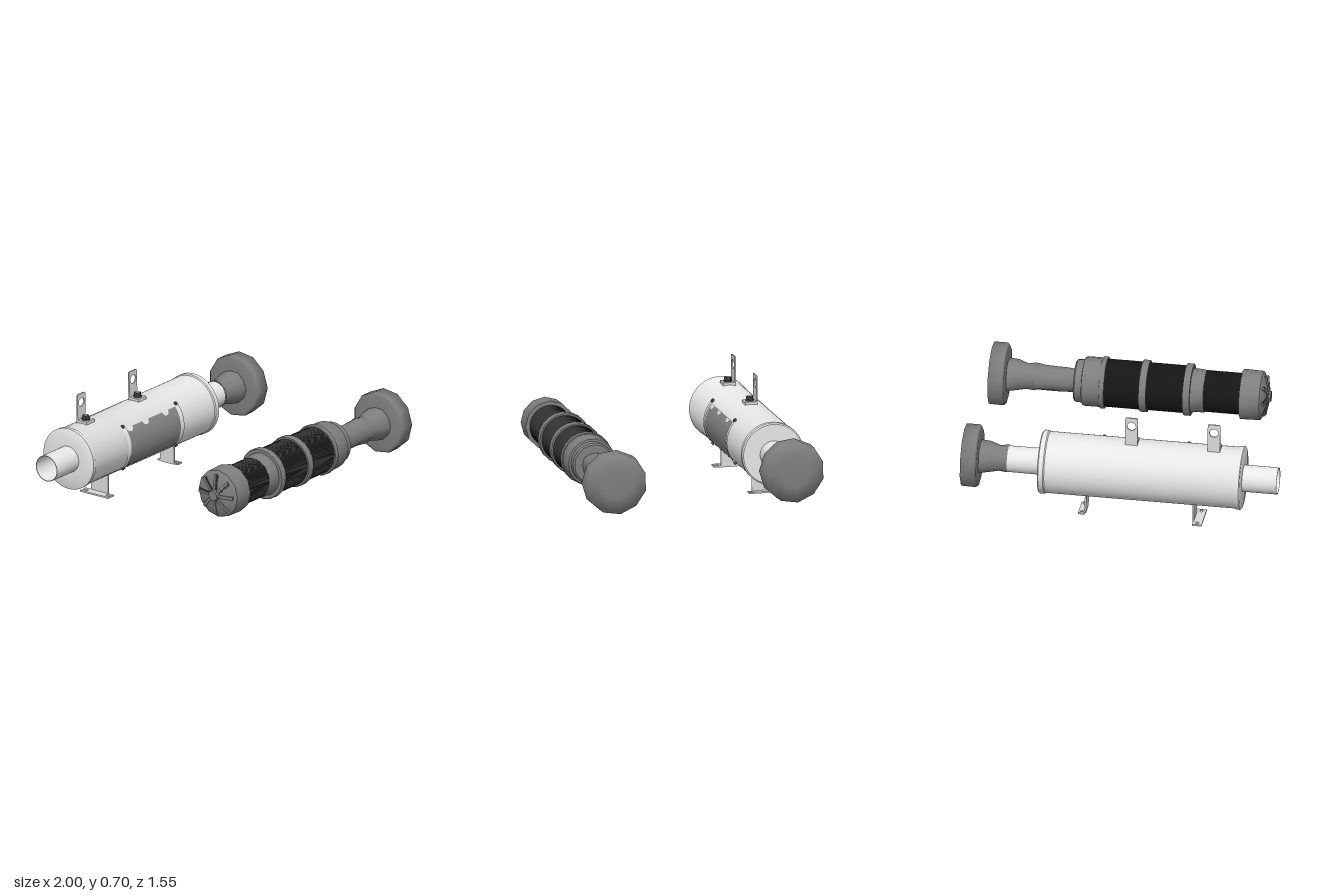
import * as THREE from 'three';
import { toCreasedNormals, mergeVertices } from 'three/addons/utils/BufferGeometryUtils.js';

const mat = (name, color, side = THREE.FrontSide) => {
  const m = new THREE.MeshStandardMaterial({ color, side });
  m.name = name;
  return m;
};

export function createModel() {
  const steel = mat('light steel', 0xe8e8e8, THREE.DoubleSide);
  const bracket = mat('bracket steel', 0xdadada, THREE.DoubleSide);
  const rubber = mat('grey rubber', 0x7e7e7e, THREE.DoubleSide);
  const panelGrey = mat('panel grey', 0x848484, THREE.DoubleSide);
  const black = mat('black mesh', 0x303030, THREE.DoubleSide);
  const boltDark = mat('dark bolt', 0x464646);

  const add = (parent, name, geo, material, x = 0, y = 0, z = 0) => {
    const m = new THREE.Mesh(geo, material);
    m.name = name;
    m.position.set(x, y, z);
    parent.add(m);
    return m;
  };

  // Lathe along x; profile is a list of [x, radius]
  const lathe = (profile, sides) =>
    new THREE.LatheGeometry(profile.map(([x, r]) => new THREE.Vector2(r, x)), sides).rotateZ(-Math.PI / 2);

  // Turned part with sharp edges kept
  const turned = (profile, sides = 48, crease = 0.6) => toCreasedNormals(lathe(profile, sides), crease);

  // Coarse turned part with shared smooth normals and a wavy surface
  const softTurned = (profile, sides, amount) => {
    let g = lathe(profile, sides);
    g.deleteAttribute('normal');
    g.deleteAttribute('uv');
    g = mergeVertices(g, 1e-4);
    const p = g.attributes.position;
    for (let i = 0; i < p.count; i++) {
      const x = p.getX(i), a = Math.atan2(p.getZ(i), p.getY(i));
      const k = 1 + amount * Math.sin(3 * a + 23 * x) * Math.cos(2 * a - 31 * x);
      p.setXYZ(i, x, p.getY(i) * k, p.getZ(i) * k);
    }
    g.computeVertexNormals();
    return g;
  };

  // Flared end piece, shared by both units
  const addFlare = (unit) => {
    add(unit, 'flareNeck', softTurned(
      [[0.705, 0.088], [0.76, 0.08], [0.82, 0.098], [0.9, 0.108]], 11, 0.05), rubber);
    add(unit, 'flareHead', softTurned(
      [[0.882, 0.1], [0.885, 0.185], [0.897, 0.2], [0.985, 0.199], [0.995, 0.1], [0.996, 0]],
      11, 0.012), rubber);
  };

  const model = new THREE.Group();
  model.name = 'model';
  const makeUnit = (name, y, z) => {
    const g = new THREE.Group();
    g.name = name;
    g.position.set(0.005, y, z);
    g.rotation.z = 0.0165;
    model.add(g);
    return g;
  };

  // ---- Housing unit ----
  const housing = makeUnit('housingUnit', 0.322, -0.577);
  add(housing, 'housingBody', turned([
    [-0.785, 0.085], [-0.785, 0.192], [-0.78, 0.2], [-0.755, 0.2], [-0.745, 0.194],
    [0.453, 0.194], [0.46, 0.2], [0.49, 0.2], [0.497, 0.192], [0.497, 0.085]], 64), steel);
  add(housing, 'inletPipe', turned([[-1.004, 0.085], [-0.78, 0.085]]), steel);
  add(housing, 'inletPipeBore', turned([[-0.78, 0.08], [-1.004, 0.08], [-1.004, 0.085]]), steel);
  add(housing, 'outletPipe', turned([[0.49, 0.084], [0.706, 0.083]]), steel);
  addFlare(housing);

  // Wraps a flat outline round the housing: its y becomes the angle above +z
  const wrap = (name, g, r, material, x) => {
    const p = g.attributes.position;
    for (let i = 0; i < p.count; i++) {
      const a = p.getY(i);
      p.setXYZ(i, p.getX(i), r * Math.sin(a), r * Math.cos(a));
    }
    g.computeVertexNormals();
    add(housing, name, g, material, x);
  };
  const band = (length, from, to) =>
    new THREE.PlaneGeometry(length, to - from, 1, 20).translate(0, (from + to) / 2, 0);

  // Access panel with edge strips, bolts and a scalloped upper edge
  wrap('accessPanel', band(0.51, -0.68, 0.68), 0.1965, panelGrey, -0.145);
  wrap('panelLowerEdge', band(0.51, -0.71, -0.68), 0.1975, black, -0.145);
  for (const x of [-0.36, -0.2, 0.0]) {
    const scallop = new THREE.CircleGeometry(0.03, 10, Math.PI, Math.PI);
    wrap('panelScallop', scallop.scale(1, 5, 1).translate(0, 0.68, 0), 0.1985, steel, x);
  }
  for (const x of [-0.415, 0.12]) {
    wrap('panelStrip', band(0.036, -0.8, 0.8), 0.201, steel, x);
    for (const a of [-0.76, 0.76]) {
      const bolt = add(housing, 'panelBolt', new THREE.CylinderGeometry(0.012, 0.012, 0.012, 8),
        boltDark, x, 0.202 * Math.sin(a), 0.202 * Math.cos(a));
      bolt.rotation.x = Math.PI / 2 - a;
    }
  }

  // Hanging tabs on top
  const tabShape = new THREE.Shape([[-0.04, 0], [0.04, 0], [0.04, 0.163], [0.033, 0.17],
    [-0.033, 0.17], [-0.04, 0.163]].map(([x, y]) => new THREE.Vector2(x, y)));
  const tabHole = new THREE.Path();
  tabHole.absarc(0, 0.113, 0.028, 0, Math.PI * 2, true);
  tabShape.holes.push(tabHole);
  const tabGeo = new THREE.ExtrudeGeometry(tabShape, { depth: 0.009, bevelEnabled: false, curveSegments: 8 });
  for (const x of [-0.598, -0.075]) {
    const tab = new THREE.Group();
    tab.name = 'hangingTab';
    tab.position.set(x, 0.206, -0.003);
    housing.add(tab);
    add(tab, 'tabPlate', tabGeo, bracket, 0, 0, -0.042);
    add(tab, 'tabBase', new THREE.BoxGeometry(0.08, 0.022, 0.08), bracket, 0, -0.007, -0.002);
    add(tab, 'tabWasher', new THREE.CylinderGeometry(0.027, 0.027, 0.008, 16), boltDark, 0, 0.008, 0);
    add(tab, 'tabNut', toCreasedNormals(new THREE.CylinderGeometry(0.023, 0.023, 0.022, 6), 0.4), boltDark, 0, 0.021, 0);
    add(tab, 'tabStud', new THREE.CylinderGeometry(0.012, 0.012, 0.008, 10), bracket, 0, 0.031, 0);
  }

  // Angle legs with slotted feet
  const addLeg = (x, dir, footLength, halfFoot, halfLeg) => {
    const leg = new THREE.Group();
    leg.name = 'supportLeg';
    leg.position.set(x, 0, 0.008);
    housing.add(leg);
    add(leg, 'legPlate', new THREE.BoxGeometry(0.01, 0.13, halfLeg * 2), bracket, 0, -0.246, 0);
    const s = new THREE.Shape();
    s.moveTo(0, -halfFoot).lineTo(footLength, -halfFoot).lineTo(footLength, halfFoot).lineTo(0, halfFoot);
    for (const z of [-1, 1]) {
      const h = new THREE.Path();
      h.absellipse(footLength * 0.5, z * halfFoot * 0.78, 0.011, 0.016, 0, Math.PI * 2, true);
      s.holes.push(h);
    }
    const g = new THREE.ExtrudeGeometry(s, { depth: 0.01, bevelEnabled: false, curveSegments: 6 });
    const foot = add(leg, 'legFoot', g.rotateX(Math.PI / 2), bracket, 0, -0.301, 0);
    if (dir < 0) foot.rotation.y = Math.PI;
  };
  addLeg(-0.478, -1, 0.06, 0.112, 0.068);
  addLeg(0.207, 1, 0.042, 0.08, 0.055);

  // ---- Core unit ----
  const core = makeUnit('coreUnit', 0.326, 0.575);
  add(core, 'endCap', turned([[-0.738, 0.14], [-0.728, 0.155], [-0.6, 0.158], [-0.598, 0.12]], 12, 0.7), rubber);
  add(core, 'endDome', turned([[-0.762, 0], [-0.761, 0.07], [-0.75, 0.115], [-0.73, 0.15]], 16), rubber);
  add(core, 'endHub', turned([[-0.785, 0], [-0.785, 0.033], [-0.755, 0.038]], 12), rubber);
  // Raised spokes with a dark gap beside each
  for (let i = 0; i < 8; i++) {
    const spoke = new THREE.Group();
    spoke.name = 'endSpoke';
    spoke.rotation.x = i * Math.PI / 4;
    core.add(spoke);
    const rib = add(spoke, 'endRib', new THREE.BoxGeometry(0.016, 0.1, 0.016), rubber, -0.757, 0.084, 0);
    const gap = add(spoke, 'endGap', new THREE.BoxGeometry(0.009, 0.09, 0.008), boltDark, -0.756, 0.084, 0.012);
    rib.rotation.z = gap.rotation.z = -0.2;
  }

  // Finely ridged black filter sleeves
  for (const [a, b, r] of [[-0.605, -0.37, 0.132], [-0.245, -0.005, 0.151], [0.03, 0.27, 0.152]]) {
    const n = Math.round((b - a) / 0.005);
    const profile = [];
    for (let i = 0; i <= n; i++) profile.push([a + (b - a) * i / n, r - (i % 2) * 0.0025]);
    add(core, 'filterSleeve', turned(profile, 36, 0.3), black);
  }

  // Collars, clamp rings and stepped outlet
  add(core, 'frontCollar', softTurned([[-0.378, 0.125], [-0.37, 0.134], [-0.32, 0.136], [-0.27, 0.142]], 12, 0.04), rubber);
  for (const [x, w] of [[-0.265, 0.045], [0.012, 0.046], [0.272, 0.03]]) {
    add(core, 'clampRing', turned([[x - w / 2, 0.14], [x - w / 2, 0.161], [x - w / 2 + 0.006, 0.166],
      [x + w / 2 - 0.006, 0.166], [x + w / 2, 0.161], [x + w / 2, 0.14]], 20, 0.7), rubber);
  }
  add(core, 'rearCollar', turned([[0.28, 0.156], [0.385, 0.156], [0.4, 0.15], [0.403, 0.137],
    [0.445, 0.135], [0.455, 0.125], [0.457, 0.06]], 18, 0.7), rubber);
  add(core, 'outletTube', softTurned([[0.45, 0.075], [0.51, 0.077], [0.57, 0.079], [0.64, 0.08], [0.71, 0.085]],
    10, 0.08), rubber);
  addFlare(core);

  return model;
}
